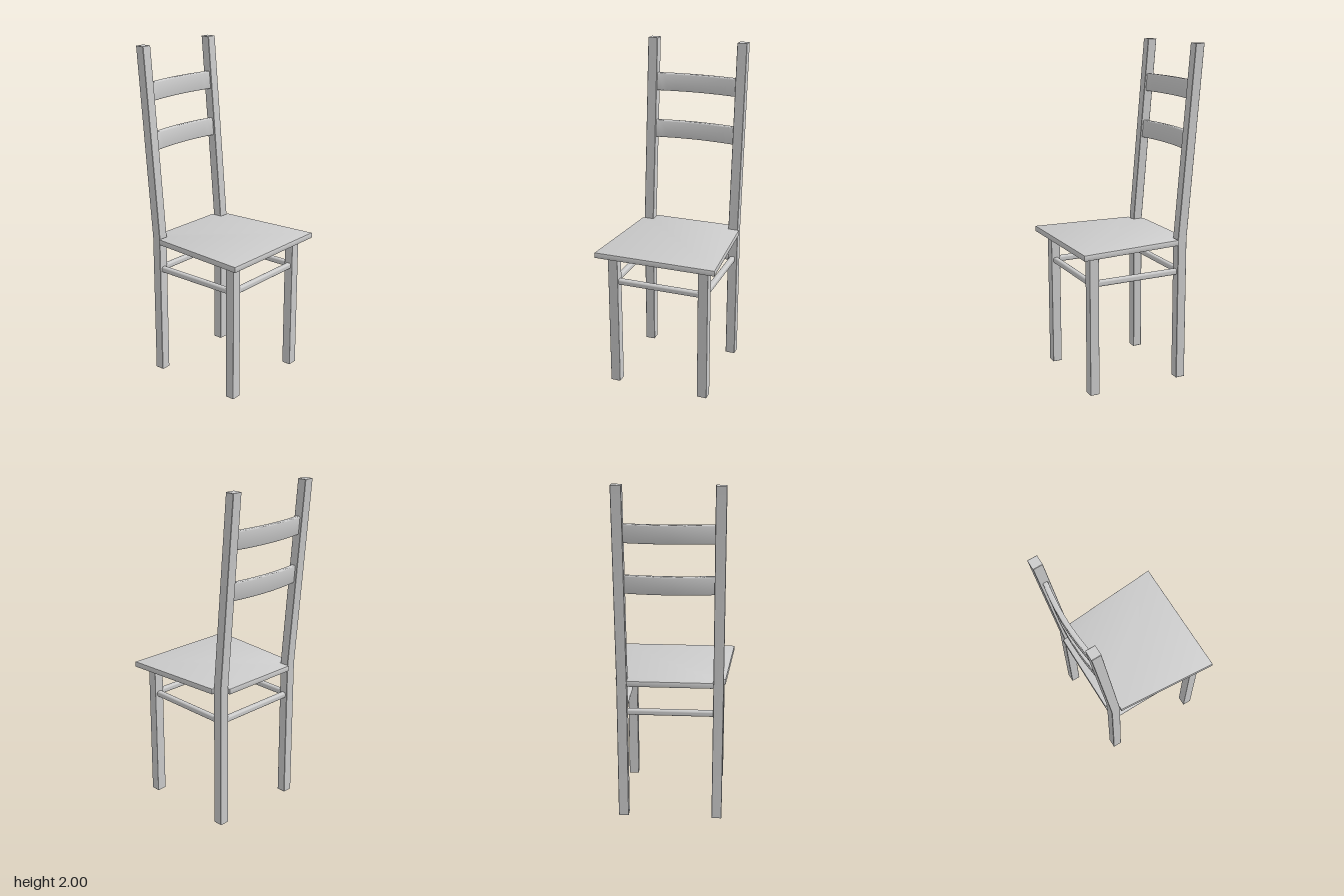
import * as THREE from 'three';
import { toCreasedNormals } from 'three/addons/utils/BufferGeometryUtils.js';
import { RoundedBoxGeometry } from 'three/addons/geometries/RoundedBoxGeometry.js';

const LEAN = 0.084; // backward lean of the back posts per unit of height

export function createModel() {
  const chair = new THREE.Group();
  const material = new THREE.MeshStandardMaterial({ color: 0xcccccc });

  const add = (name, geometry, x = 0, y = 0, z = 0) => {
    const mesh = new THREE.Mesh(geometry, material);
    mesh.name = name;
    mesh.position.set(x, y, z);
    chair.add(mesh);
  };

  // Extrudes an outline to an exact thickness with softened edges
  const slab = (points, depth, bevel, bevelSegments = 2) => {
    const shape = new THREE.Shape(points.map(([x, y]) => new THREE.Vector2(x, y)));
    const geometry = new THREE.ExtrudeGeometry(shape, {
      depth: depth - 2 * bevel, bevelThickness: bevel, bevelSize: bevel,
      bevelOffset: -bevel, bevelSegments,
    });
    return geometry.translate(0, 0, bevel);
  };
  const bar = (w, h, d, r) => new RoundedBoxGeometry(w, h, d, 3, r);

  // Seat: tapers toward the back and is notched around the back posts
  const half = [[0.39, 0.368], [-0.236, 0.32], [-0.236, 0.25], [-0.307, 0.25]];
  const outline = [...half, ...half.map(([x, z]) => [x, -z]).reverse()];
  const seat = slab(outline, 0.035, 0.005).rotateX(-Math.PI / 2);
  add('seat', toCreasedNormals(seat, 0.6), 0, 0.835, 0);

  // Back posts: upright to the seat, then leaning backward
  const post = [[-0.295, 0], [-0.239, 0], [-0.239, 0.88],
    [-0.334, 2], [-0.39, 2], [-0.295, 0.87]];

  for (const side of [1, -1]) {
    const label = side > 0 ? 'Left' : 'Right';
    const z = 0.28 * side;
    add('backPost' + label, toCreasedNormals(slab(post, 0.06, 0.002, 1), 0.6), 0, 0, z - 0.03);
    add('frontLeg' + label, bar(0.056, 0.838, 0.06, 0.002), 0.304, 0.419, z);
    add('sideStretcher' + label, bar(0.53, 0.036, 0.034, 0.012), 0.018, 0.668, z);
  }

  // Front and back stretchers
  add('frontStretcher', bar(0.034, 0.036, 0.52, 0.012), 0.304, 0.668, 0);
  add('backStretcher', bar(0.034, 0.036, 0.52, 0.012), -0.267, 0.668, 0);

  // Curved back slats, bowed backward and following the lean of the posts
  const bowed = (offset) => Array.from({ length: 21 }, (_, i) => {
    const t = i / 10 - 1;
    return [offset - 0.025 * (1 - t * t), 0.262 * t];
  });
  const slatOutline = [...bowed(0), ...bowed(0.03).reverse()];
  [['lowerSlat', 1.393, -0.331], ['upperSlat', 1.682, -0.355]].forEach(([name, y, x]) => {
    const slat = slab(slatOutline, 0.107, 0.007, 3).rotateX(-Math.PI / 2);
    const shear = new THREE.Matrix4().set(1, -LEAN, 0, 0, 0, 1, 0, 0, 0, 0, 1, 0, 0, 0, 0, 1);
    slat.applyMatrix4(shear);
    add(name, toCreasedNormals(slat, 0.7), x + 0.009, y, 0);
  });

  return chair;
}
